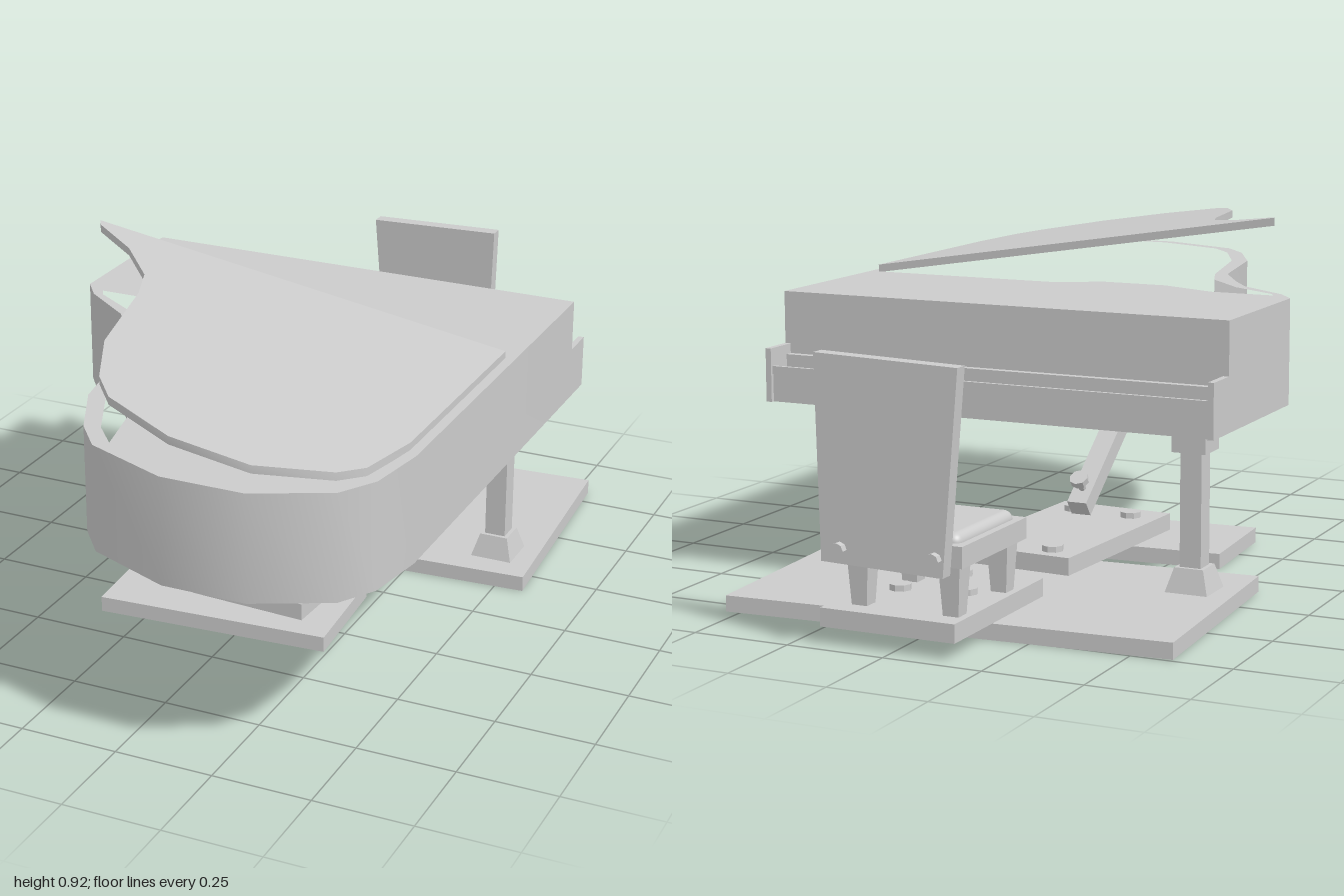
import * as THREE from 'three';
import { toCreasedNormals } from 'three/addons/utils/BufferGeometryUtils.js';
import { RoundedBoxGeometry } from 'three/addons/geometries/RoundedBoxGeometry.js';

const grey = new THREE.MeshStandardMaterial({ color: 0xcccccc });

export function createModel() {
  const model = new THREE.Group();
  let parent = model;

  const add = (name, geometry, x = 0, y = 0, z = 0) => {
    const mesh = new THREE.Mesh(geometry, grey);
    mesh.name = name;
    mesh.position.set(x, y, z);
    parent.add(mesh);
    return mesh;
  };
  const section = (name, x = 0, y = 0, z = 0) => {
    parent = new THREE.Group();
    parent.name = name;
    parent.position.set(x, y, z);
    model.add(parent);
    return parent;
  };
  // Box given by its extents
  const block = (name, x0, x1, y0, y1, z0, z1) =>
    add(name, new THREE.BoxGeometry(x1 - x0, y1 - y0, z1 - z0), (x0 + x1) / 2, (y0 + y1) / 2, (z0 + z1) / 2);
  // Flat slab from an outline of [x, z] points
  const slab = (outline, y0, y1, hole) => {
    const toVec = (p) => new THREE.Vector2(p[0], p[1]);
    const shape = new THREE.Shape(outline.map(toVec));
    if (hole) shape.holes.push(new THREE.Path(hole.map(toVec)));
    const geo = new THREE.ExtrudeGeometry(shape, { depth: y1 - y0, bevelEnabled: false });
    geo.rotateX(Math.PI / 2).translate(0, y1, 0);
    return toCreasedNormals(geo, 0.6);
  };
  // Square tapered post
  const post = (top, bottom, h) => {
    const geo = new THREE.CylinderGeometry(top * Math.SQRT1_2, bottom * Math.SQRT1_2, h, 4).toNonIndexed();
    geo.rotateY(Math.PI / 4).computeVertexNormals();
    return geo;
  };
  const bolt = (r, h) => toCreasedNormals(new THREE.CylinderGeometry(r, r, h, 8), 0.5);

  // Floor plates, slightly turned
  section('basePlates');
  add('rearPlate', new THREE.BoxGeometry(1.14, 0.04, 0.65), -0.012, 0.02, -0.45).rotation.y = 0.061;
  add('frontPlate', new THREE.BoxGeometry(0.61, 0.04, 0.32), -0.074, 0.02, 0.22).rotation.y = 0.066;

  // Plank joining the two plates
  section('connectingPlank', 0.01, 0.0625, 0.005).rotation.y = -0.062;
  add('plank', new THREE.BoxGeometry(0.32, 0.045, 0.57));
  for (const x of [-0.085, 0.085])
    for (const z of [-0.23, 0.2]) add('plankBolt', bolt(0.028, 0.016), x, 0.0295, z);

  // Piano case
  const caseOutline = [[-0.6, -0.41], [-0.6, 0], [-0.555, 0.06], [-0.42, 0.16], [-0.365, 0.24], [-0.29, 0.37],
    [-0.235, 0.66], [-0.155, 0.825], [-0.085, 0.91], [0.13, 0.998], [0.34, 0.998], [0.52, 0.91],
    [0.575, 0.82], [0.6, 0.66], [0.6, -0.41]];
  const lidOutline = [[-0.545, 0.03], [-0.53, 0.055], [-0.405, 0.135], [-0.3, 0.25], [-0.26, 0.355], [-0.195, 0.645],
    [-0.115, 0.815], [-0.05, 0.89], [0.14, 0.968], [0.34, 0.968], [0.5, 0.875], [0.545, 0.81],
    [0.575, 0.635], [0.575, 0.03]];
  section('pianoBody');
  add('case', slab(caseOutline, 0.46, 0.727, lidOutline));
  add('soundboard', slab(lidOutline, 0.46, 0.6));

  // Raised lid, rising away from its hinge on the straight side
  const lid = slab(lidOutline, 0.725, 0.745);
  const pos = lid.attributes.position;
  for (let i = 0; i < pos.count; i++) pos.setY(i, pos.getY(i) + (0.575 - pos.getX(i)) * 0.157);
  add('raisedLid', toCreasedNormals(lid, 0.6));

  // Keyboard shelf
  block('keybed', -0.585, 0.585, 0.46, 0.53, -0.495, -0.41);
  block('keySlip', -0.585, 0.585, 0.53, 0.55, -0.498, -0.488);
  block('fallboard', -0.585, 0.585, 0.53, 0.57, -0.43, -0.41);
  for (const s of [-1, 1])
    add('keyCheek', new THREE.BoxGeometry(0.015, 0.135, 0.095), s * 0.5925, 0.5275, -0.4575);

  // Legs
  for (const x of [-0.465, 0.462]) {
    section('pianoLeg', x, 0, -0.28);
    add('legBlock', new THREE.BoxGeometry(0.088, 0.075, 0.088), 0, 0.4225, 0);
    add('legShaft', new THREE.BoxGeometry(0.055, 0.285, 0.055), 0, 0.2425, 0);
    add('legFoot', post(0.075, 0.11, 0.06), 0, 0.07, 0);
  }

  // Slanted prop with bolts through both ends
  section('slantedProp', 0.024, 0.275, 0.322).rotation.x = -0.65;
  add('propBar', new THREE.BoxGeometry(0.055, 0.048, 0.53));
  for (const z of [-0.215, 0.215]) {
    add('propBolt', bolt(0.01, 0.11), 0, 0.01, z);
    add('propBoltHead', bolt(0.025, 0.018), 0, 0.06, z);
  }
  add('propNut', bolt(0.025, 0.022), 0, -0.038, 0.215);

  // Chair
  section('chair');
  block('chairPlank', -0.16, 0.188, 0.04, 0.085, -0.955, -0.495);
  for (const [x, z] of [[0.03, -0.55], [-0.06, -0.7], [0.1, -0.73]])
    add('chairPlankBolt', bolt(0.027, 0.016), x, 0.092, z);
  for (const x of [-0.122, 0.115])
    for (const z of [-0.638, -0.88]) add('chairLeg', post(0.055, 0.04, 0.122), x, 0.146, z);
  block('seatFrame', -0.168, 0.16, 0.207, 0.258, -0.93, -0.6);
  add('seatCushion', new RoundedBoxGeometry(0.29, 0.05, 0.29, 4, 0.022), -0.004, 0.255, -0.765);

  // Backrest, wider at the top
  const back = new THREE.BoxGeometry(1, 0.48, 0.036);
  const bp = back.attributes.position;
  for (let i = 0; i < bp.count; i++) bp.setX(i, bp.getX(i) * (bp.getY(i) > 0 ? 0.365 : 0.312));
  back.computeVertexNormals();
  add('backrest', back, 0.004, 0.438, -0.962).rotation.z = 0.03;
  for (const x of [-0.125, 0.118]) {
    add('backrestBolt', bolt(0.01, 0.085), x, 0.235, -0.95).rotation.x = Math.PI / 2;
    add('backrestBoltHead', bolt(0.018, 0.018), x, 0.235, -0.989).rotation.x = Math.PI / 2;
  }
  return model;
}
